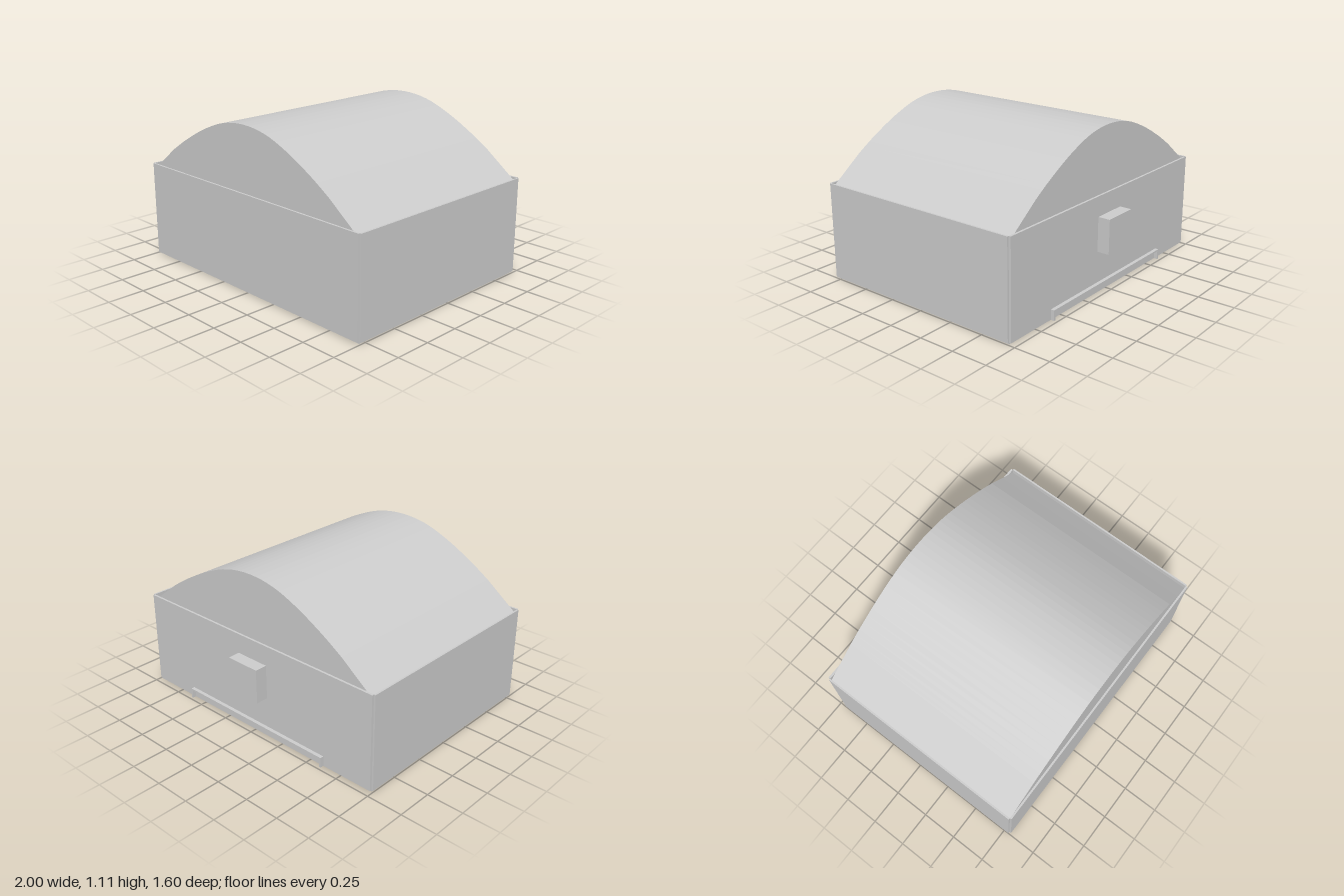
import * as THREE from 'three';

export function createModel() {
  const model = new THREE.Group();
  const grey = new THREE.MeshStandardMaterial({ color: 0xcccccc });
  grey.name = 'light grey';

  // Box given by its limits on each axis
  function slab(name, [x0, x1], [y0, y1], [z0, z1], parent = model) {
    const mesh = new THREE.Mesh(new THREE.BoxGeometry(x1 - x0, y1 - y0, z1 - z0), grey);
    mesh.position.set((x0 + x1) / 2, (y0 + y1) / 2, (z0 + z1) / 2);
    mesh.name = name;
    parent.add(mesh);
  }

  // Floor and four thin walls with notched corners
  const wallY = [0.01, 0.667];
  slab('floor', [-0.988, 0.988], [0, 0.01], [-0.7, 0.787]);
  slab('frontWall', [-0.988, 0.988], wallY, [0.787, 0.8]);
  slab('backWall', [-0.988, 0.988], wallY, [-0.715, -0.7]);
  slab('leftWall', [0.988, 1], wallY, [-0.7, 0.787]);
  slab('rightWall', [-1, -0.988], wallY, [-0.7, 0.787]);

  // Arched roof: a faceted bell curve with straight eaves, tucked inside the walls
  const half = [[0, 1.106], [0.2, 1.082], [0.4, 1.008], [0.6, 0.903], [0.745, 0.812]];
  const crest = [...half.slice(1).reverse().map(([x, y]) => [-x, y]), ...half]
    .map(([x, y]) => new THREE.Vector2(x, y));
  const outline = [
    new THREE.Vector2(-0.988, 0.6), new THREE.Vector2(-0.988, 0.628), new THREE.Vector2(-0.865, 0.721),
    ...new THREE.SplineCurve(crest).getPoints(32),
    new THREE.Vector2(0.865, 0.721), new THREE.Vector2(0.988, 0.628), new THREE.Vector2(0.988, 0.6),
  ];
  const roof = new THREE.Mesh(
    new THREE.ExtrudeGeometry(new THREE.Shape(outline), { depth: 1.486, bevelEnabled: false }), grey);
  roof.position.z = -0.7;
  roof.name = 'archedRoof';
  model.add(roof);

  // Hood on the back wall, open underneath
  const hood = new THREE.Group();
  hood.name = 'ventHood';
  const hoodZ = [-0.8, -0.715];
  slab('hoodTop', [-0.128, 0.122], [0.518, 0.53], hoodZ, hood);
  slab('hoodBack', [-0.128, 0.122], [0.295, 0.518], [-0.8, -0.788], hood);
  slab('hoodRight', [-0.128, -0.116], [0.295, 0.518], [-0.788, -0.715], hood);
  slab('hoodLeft', [0.11, 0.122], [0.295, 0.518], [-0.788, -0.715], hood);
  model.add(hood);

  // Low frame along the foot of the back wall
  const frame = new THREE.Group();
  frame.name = 'lowerFrame';
  const frameZ = [-0.74, -0.715];
  slab('frameTop', [-0.614, 0.61], [0.068, 0.08], frameZ, frame);
  slab('frameRight', [-0.614, -0.602], [0.01, 0.068], frameZ, frame);
  slab('frameLeft', [0.598, 0.61], [0.01, 0.068], frameZ, frame);
  model.add(frame);

  return model;
}
